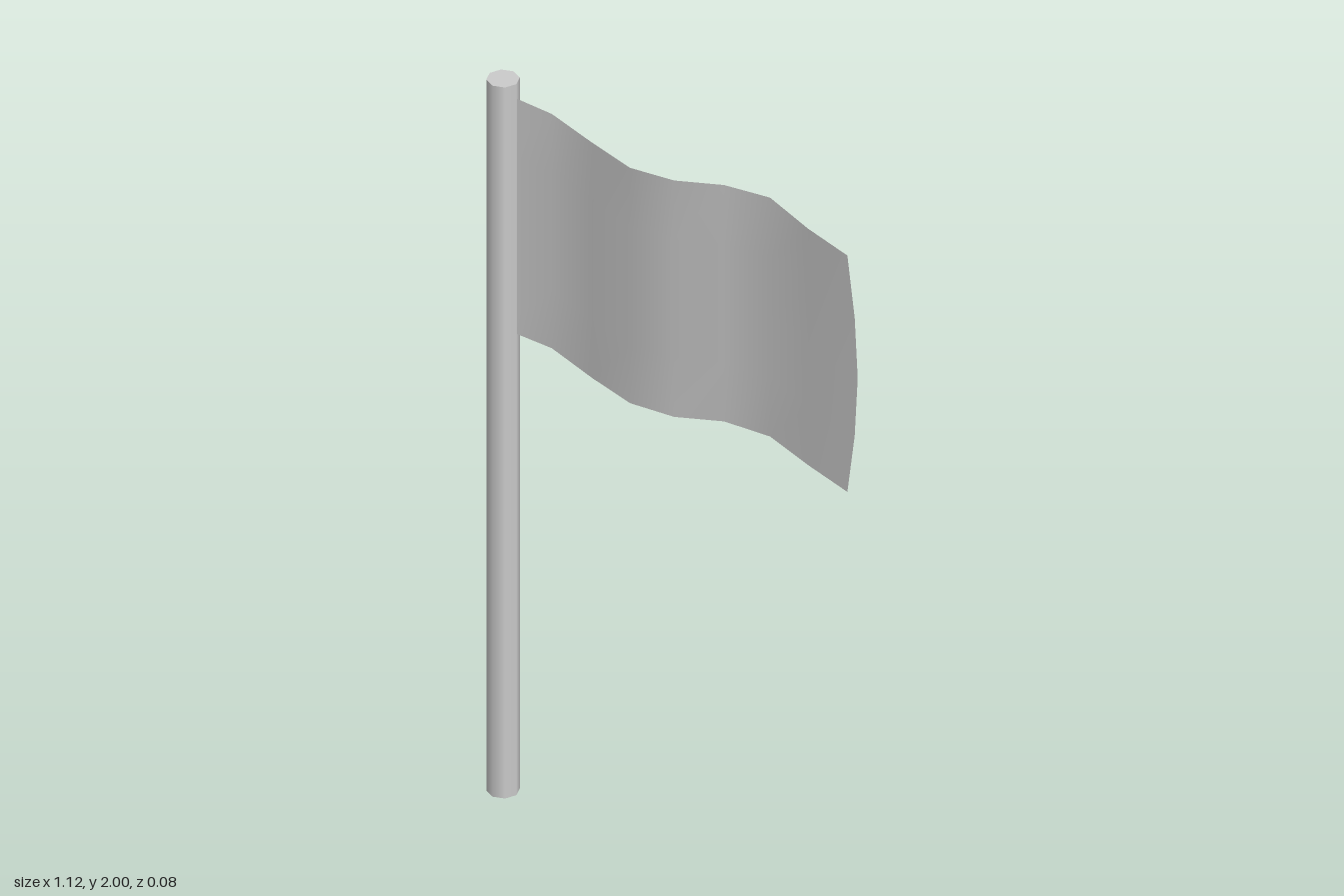
import * as THREE from 'three';

const POLE_X = -0.52;
const COLS = 8, ROWS = 4;

// heights of the flag's upper and lower edges, from the pole outwards
const TOP = [1.96, 1.942, 1.918, 1.912, 1.927, 1.953, 1.965, 1.94, 1.925];
const BOTTOM = [1.297, 1.283, 1.256, 1.25, 1.262, 1.288, 1.293, 1.275, 1.26];

export function createModel() {
  const model = new THREE.Group();
  model.name = 'flagOnPole';

  // eight-sided pole with smooth sides
  const pole = new THREE.Mesh(
    new THREE.CylinderGeometry(0.04, 0.04, 2, 8),
    new THREE.MeshStandardMaterial({ color: 0xcccccc })
  );
  pole.name = 'pole';
  pole.position.set(POLE_X, 1, 0);
  model.add(pole);

  // thin cloth: a grid bent into ripples, its free edge bulging outwards
  const cloth = new THREE.PlaneGeometry(1, 1, COLS, ROWS);
  const pos = cloth.attributes.position;
  for (let r = 0; r <= ROWS; r++) {
    const v = r / ROWS;
    for (let c = 0; c <= COLS; c++) {
      const bulge = c === COLS ? 0.031 * Math.sin(Math.PI * v) : 0;
      const x = POLE_X + 0.131 * c + bulge;
      const y = THREE.MathUtils.lerp(TOP[c], BOTTOM[c], v);
      const z = -0.02 * Math.sin(1.366 * c);
      pos.setXYZ(r * (COLS + 1) + c, x, y, z);
    }
  }
  cloth.computeVertexNormals();
  const flag = new THREE.Mesh(
    cloth,
    new THREE.MeshStandardMaterial({ color: 0xcccccc, side: THREE.DoubleSide })
  );
  flag.name = 'flag';
  model.add(flag);

  return model;
}
